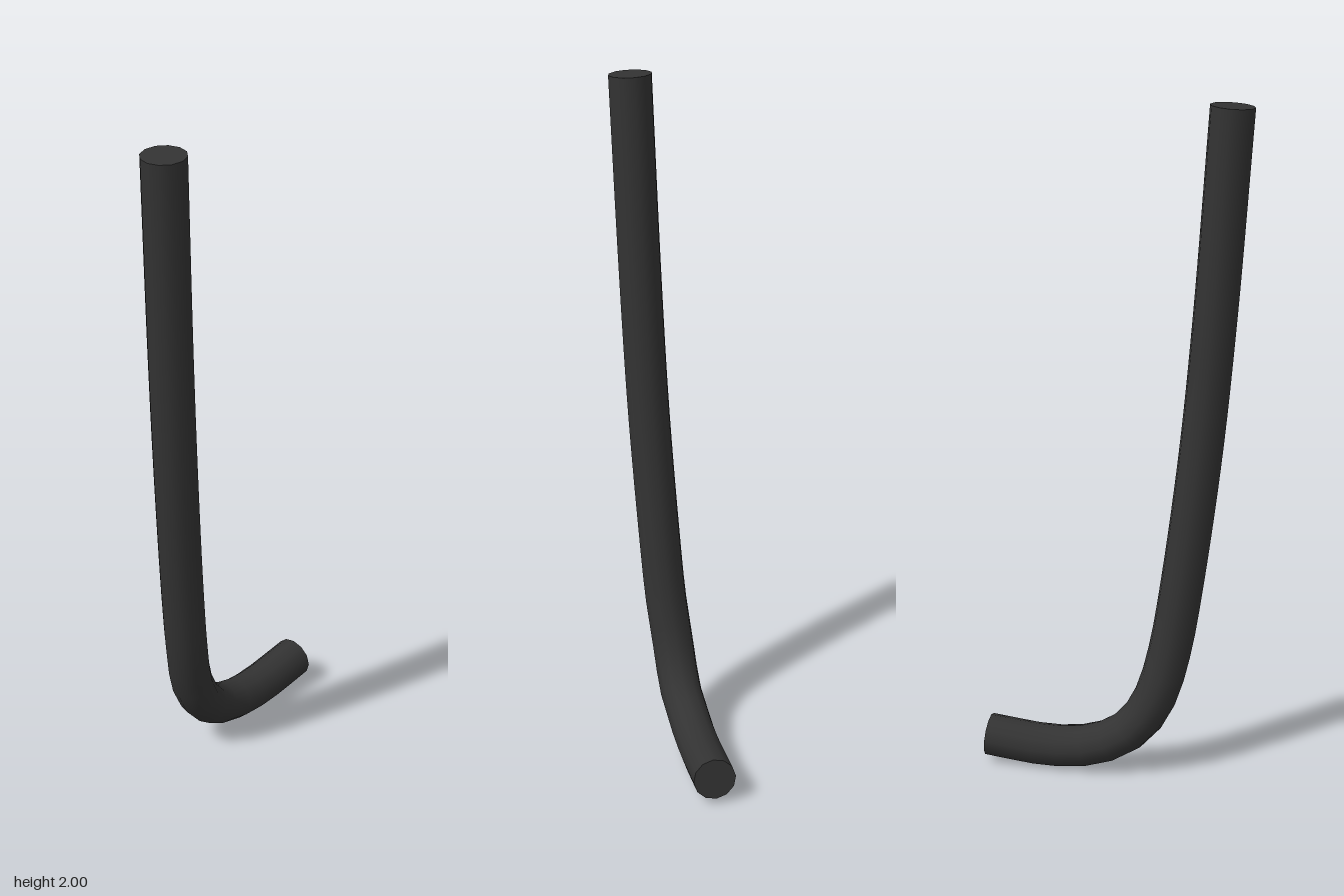
import * as THREE from 'three';

const RADIUS = 0.063;
const SIDES = 12;
const SEGMENTS = 32;

// Flat disc closing one end ring of the tube
function endCap(tube, ring, centre, flip) {
  const pos = tube.attributes.position;
  const verts = [centre.x, centre.y, centre.z];
  const index = [];
  for (let i = 0; i < SIDES; i++) {
    const k = ring * (SIDES + 1) + i;
    verts.push(pos.getX(k), pos.getY(k), pos.getZ(k));
    const a = 1 + i, b = 1 + (i + 1) % SIDES;
    index.push(0, flip ? b : a, flip ? a : b);
  }
  const geo = new THREE.BufferGeometry();
  geo.setAttribute('position', new THREE.Float32BufferAttribute(verts, 3));
  geo.setIndex(index);
  geo.computeVertexNormals();
  return geo;
}

export function createModel() {
  const group = new THREE.Group();
  group.name = 'bentRod';
  const material = new THREE.MeshStandardMaterial({ color: 0x333333 });

  // Centreline: long leaning shaft, tight bend, short foot
  const points = [
    [-0.13, 1.995, 0.308], [-0.128, 1.4, 0.267], [-0.125, 1.0, 0.231],
    [-0.121, 0.6, 0.18], [-0.117, 0.4, 0.147], [-0.112, 0.27, 0.112],
    [-0.097, 0.19, 0.077], [-0.073, 0.13, 0.03], [-0.042, 0.09, -0.035],
    [-0.005, 0.07, -0.1], [0.048, 0.064, -0.19], [0.138, 0.08, -0.338],
  ].map((p) => new THREE.Vector3(...p));
  const path = new THREE.CatmullRomCurve3(points, false, 'centripetal');

  const tube = new THREE.TubeGeometry(path, SEGMENTS, RADIUS, SIDES, false);
  const parts = {
    rod: tube,
    topCap: endCap(tube, 0, points[0], false),
    footCap: endCap(tube, SEGMENTS, points[points.length - 1], true),
  };
  for (const [name, geometry] of Object.entries(parts)) {
    const mesh = new THREE.Mesh(geometry, material);
    mesh.name = name;
    group.add(mesh);
  }
  return group;
}
